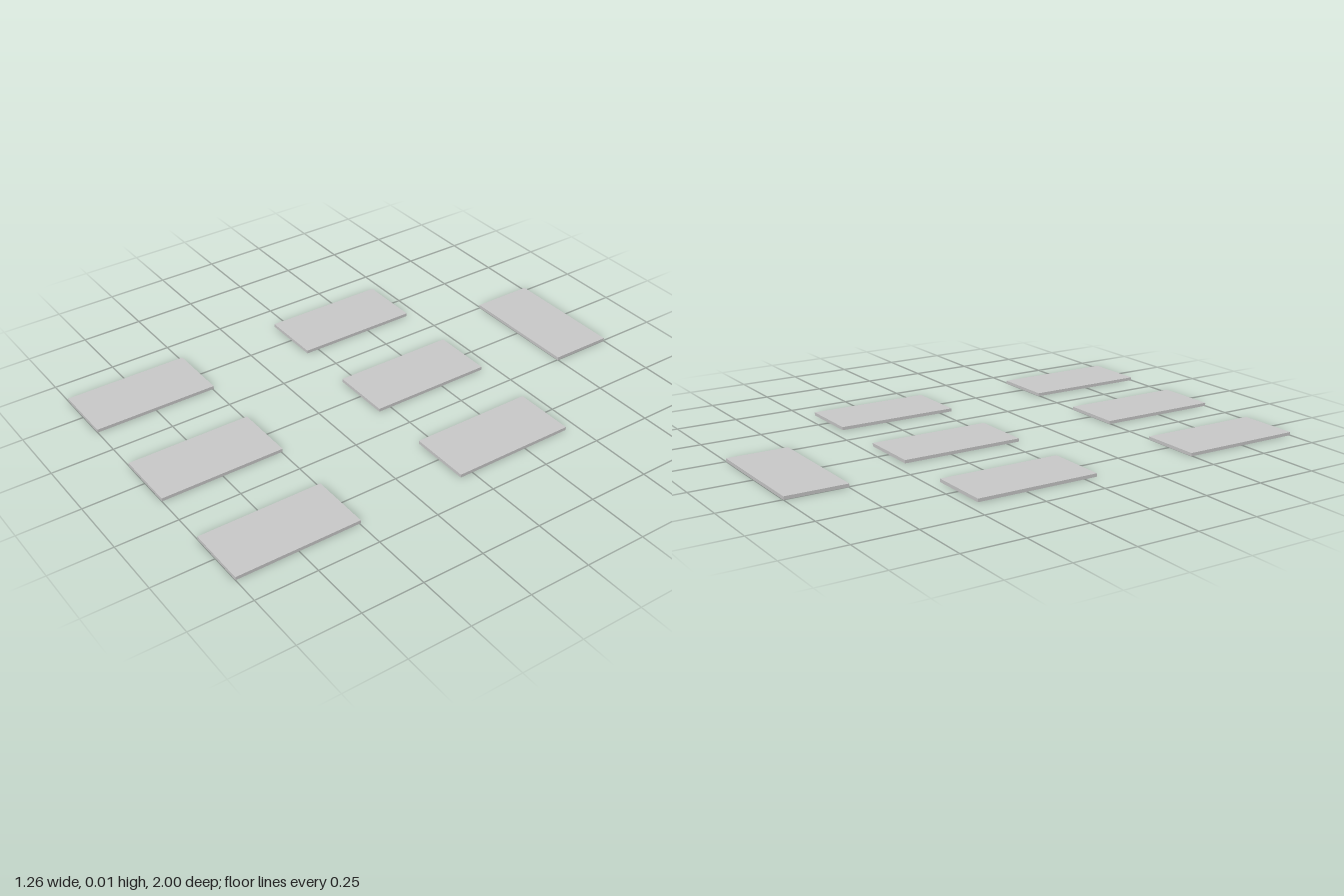
import * as THREE from 'three';

const SHORT = 0.2525, LONG = 0.505, THICK = 0.013;

export function createModel() {
  const model = new THREE.Group();
  const material = new THREE.MeshStandardMaterial({ color: 0xcccccc, flatShading: true });

  // A thin rectangular slab lying on the ground
  function addSlab(name, width, depth, x, z) {
    const slab = new THREE.Mesh(new THREE.BoxGeometry(width, THICK, depth), material);
    slab.name = name;
    slab.position.set(x, THICK / 2, z);
    model.add(slab);
  }

  // Two rows of three lengthwise slabs
  const rows = { middle: -0.199, front: 1 - LONG / 2 };
  const columns = { Right: -2 * SHORT, Center: 0, Left: 2 * SHORT };
  for (const [row, z] of Object.entries(rows)) {
    for (const [column, x] of Object.entries(columns)) {
      addSlab(`${row}${column}Slab`, SHORT, LONG, x, z);
    }
  }

  // Single crosswise slab at the back
  addSlab('backSlab', LONG, SHORT, 0, -1 + SHORT / 2);

  return model;
}
